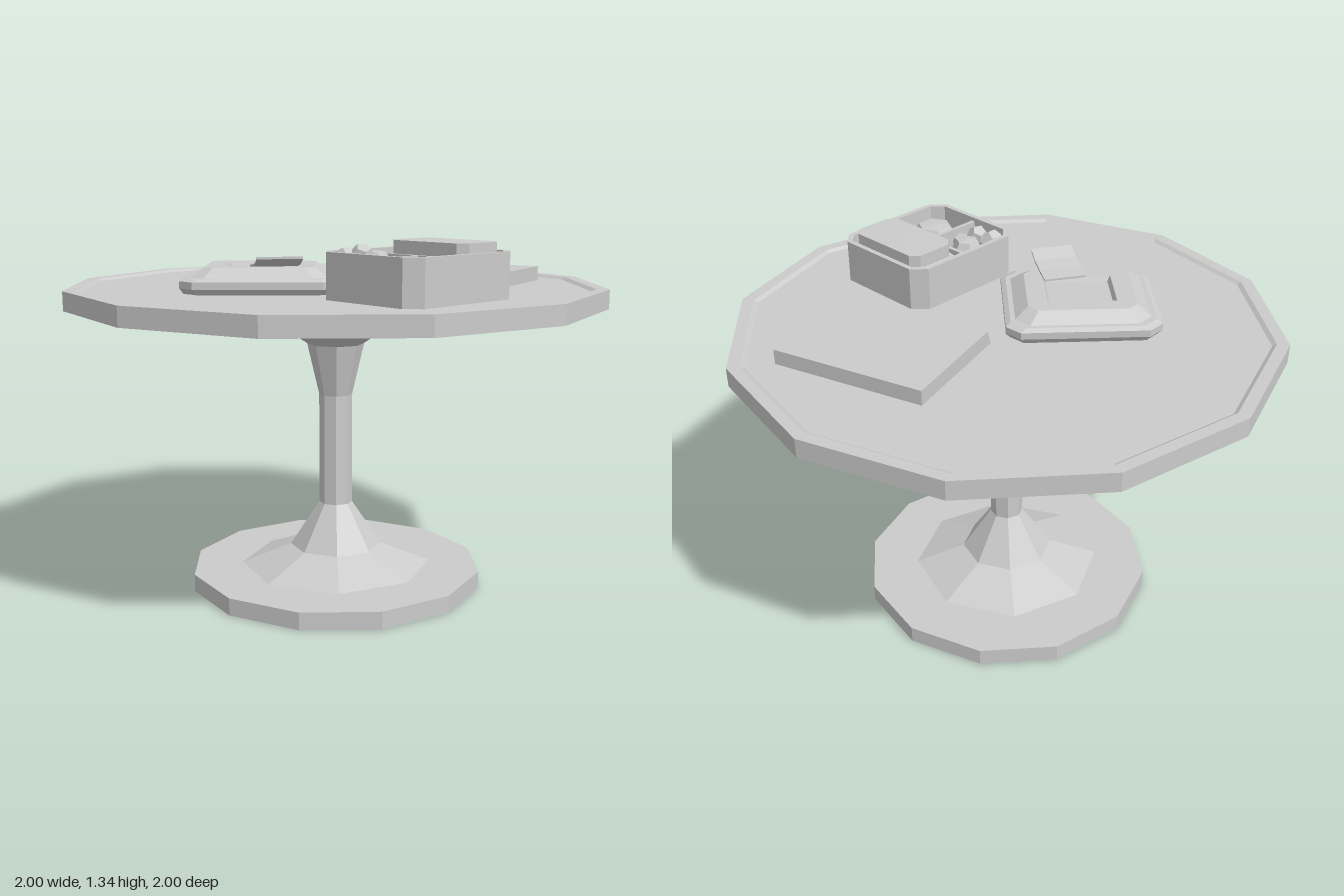
import * as THREE from 'three';

const material = new THREE.MeshStandardMaterial({ color: 0xcccccc, flatShading: true, side: THREE.DoubleSide });

function add(parent, name, geometry, x = 0, y = 0, z = 0, ry = 0) {
  const mesh = new THREE.Mesh(geometry, material);
  mesh.name = name;
  mesh.position.set(x, y, z);
  mesh.rotation.y = ry;
  parent.add(mesh);
  return mesh;
}

function group(parent, name, x, z, ry) {
  const g = new THREE.Group();
  g.name = name;
  g.position.set(x, 0, z);
  g.rotation.y = ry;
  parent.add(g);
  return g;
}

// Faceted turned part; profile is [radius, y] from bottom to top
function turned(profile, sides, phase = 0) {
  const points = profile.map(([r, y]) => new THREE.Vector2(r, y));
  return new THREE.LatheGeometry(points, sides, phase).toNonIndexed();
}

// Stacked rectangles with cut corners; each section is [width, depth, y, cut]
function loft(sections) {
  const rings = sections.map(([w, d, y, c]) => {
    const a = w / 2, b = d / 2;
    return [[a - c, b], [a, b - c], [a, c - b], [a - c, -b], [c - a, -b], [-a, c - b], [-a, b - c], [c - a, b]]
      .map(([x, z]) => [x, y, z]);
  });
  const verts = [];
  for (let i = 0; i < rings.length - 1; i++) {
    for (let j = 0; j < 8; j++) {
      const k = (j + 1) % 8;
      const [p, q, r, s] = [rings[i][j], rings[i][k], rings[i + 1][k], rings[i + 1][j]];
      verts.push(...p, ...q, ...r, ...p, ...r, ...s);
    }
  }
  const geometry = new THREE.BufferGeometry();
  geometry.setAttribute('position', new THREE.Float32BufferAttribute(verts, 3));
  geometry.computeVertexNormals();
  return geometry;
}

// Side outline pushed along z and centred
function extruded(points, depth) {
  const shape = new THREE.Shape(points.map(([x, y]) => new THREE.Vector2(x, y)));
  return new THREE.ExtrudeGeometry(shape, { depth, bevelEnabled: false }).translate(0, 0, -depth / 2);
}

export function createModel() {
  const model = new THREE.Group();
  model.name = 'laidTable';

  // Table
  add(model, 'foot', turned([[0, 0], [0.56, 0], [0.56, 0.065], [0, 0.065]], 12));
  add(model, 'pedestal', turned([
    [0.365, 0.065], [0.175, 0.14], [0.063, 0.31], [0.063, 0.735], [0.108, 0.93], [0.34, 1.085],
  ], 8));
  add(model, 'tableTop', turned([
    [0, 1.085], [1, 1.085], [1, 1.155], [0.955, 1.155], [0.94, 1.145], [0, 1.145],
  ], 12));

  // Closed booklet with a slanted spine
  add(model, 'booklet', extruded([[-0.235, 1.145], [0.23, 1.145], [0.23, 1.2], [-0.215, 1.2]], 0.58),
    0.44, 0, 0.18, 0.222);

  // Stepped dish with a sunken middle
  add(model, 'dish', loft([
    [0, 0, 1.145, 0], [0.53, 0.475, 1.145, 0.05], [0.555, 0.5, 1.165, 0.05], [0.555, 0.5, 1.19, 0.05],
    [0.52, 0.465, 1.2, 0.05], [0.485, 0.43, 1.2, 0.05], [0.39, 0.335, 1.235, 0.035],
    [0.25, 0.21, 1.235, 0], [0.23, 0.19, 1.215, 0], [0, 0, 1.215, 0],
  ]), -0.25, 0, -0.135, -0.82);

  // Curled napkin on the dish edge
  const curl = [[-0.095, 1.232], [-0.03, 1.238], [0.04, 1.248], [0.095, 1.272]];
  const curlTop = curl.map(([x, y]) => [x, y + 0.008]).reverse();
  add(model, 'napkin', extruded([...curl, ...curlTop], 0.16), -0.337, 0, 0.03, Math.atan2(-0.81, -0.58));

  // Lunch box: shell, dividers and food
  const box = group(model, 'lunchBox', -0.13, 0.5, -0.07);
  add(box, 'boxShell', loft([
    [0, 0, 1.145, 0], [0.515, 0.45, 1.145, 0.05], [0.515, 0.45, 1.305, 0.05],
    [0.475, 0.41, 1.305, 0.04], [0.475, 0.41, 1.17, 0.04], [0, 0, 1.17, 0],
  ]));
  add(box, 'longDivider', new THREE.BoxGeometry(0.016, 0.12, 0.41), 0, 1.23, 0);
  add(box, 'shortDivider', new THREE.BoxGeometry(0.235, 0.12, 0.016), -0.12, 1.23, 0);
  add(box, 'riceBlock', loft([
    [0.225, 0.39, 1.17, 0.03], [0.225, 0.39, 1.27, 0.03], [0.2, 0.345, 1.285, 0.03],
    [0.2, 0.345, 1.335, 0.03], [0, 0, 1.34, 0],
  ]), 0.124, 0, 0.005);
  add(box, 'bun', turned([
    [0, 1.17], [0.07, 1.17], [0.105, 1.215], [0.065, 1.275], [0, 1.28],
  ], 6, Math.PI / 6), -0.13, 0, 0.11);
  add(box, 'roundBite', turned([
    [0.045, 1.17], [0.072, 1.24], [0.042, 1.3], [0, 1.305],
  ], 6, Math.PI / 6), -0.078, 0, -0.13);
  const bites = [[-0.178, 1.275, -0.163, 0.045], [-0.193, 1.25, -0.097, 0.04],
    [-0.13, 1.25, -0.05, 0.038], [-0.15, 1.29, -0.115, 0.042]];
  bites.forEach(([x, y, z, r], i) => {
    add(box, 'smallBite', new THREE.DodecahedronGeometry(r), x, y, z, i * 0.9);
    add(box, 'lowerBite', new THREE.DodecahedronGeometry(r), x, 1.205, z, i * 1.3);
  });

  return model;
}
